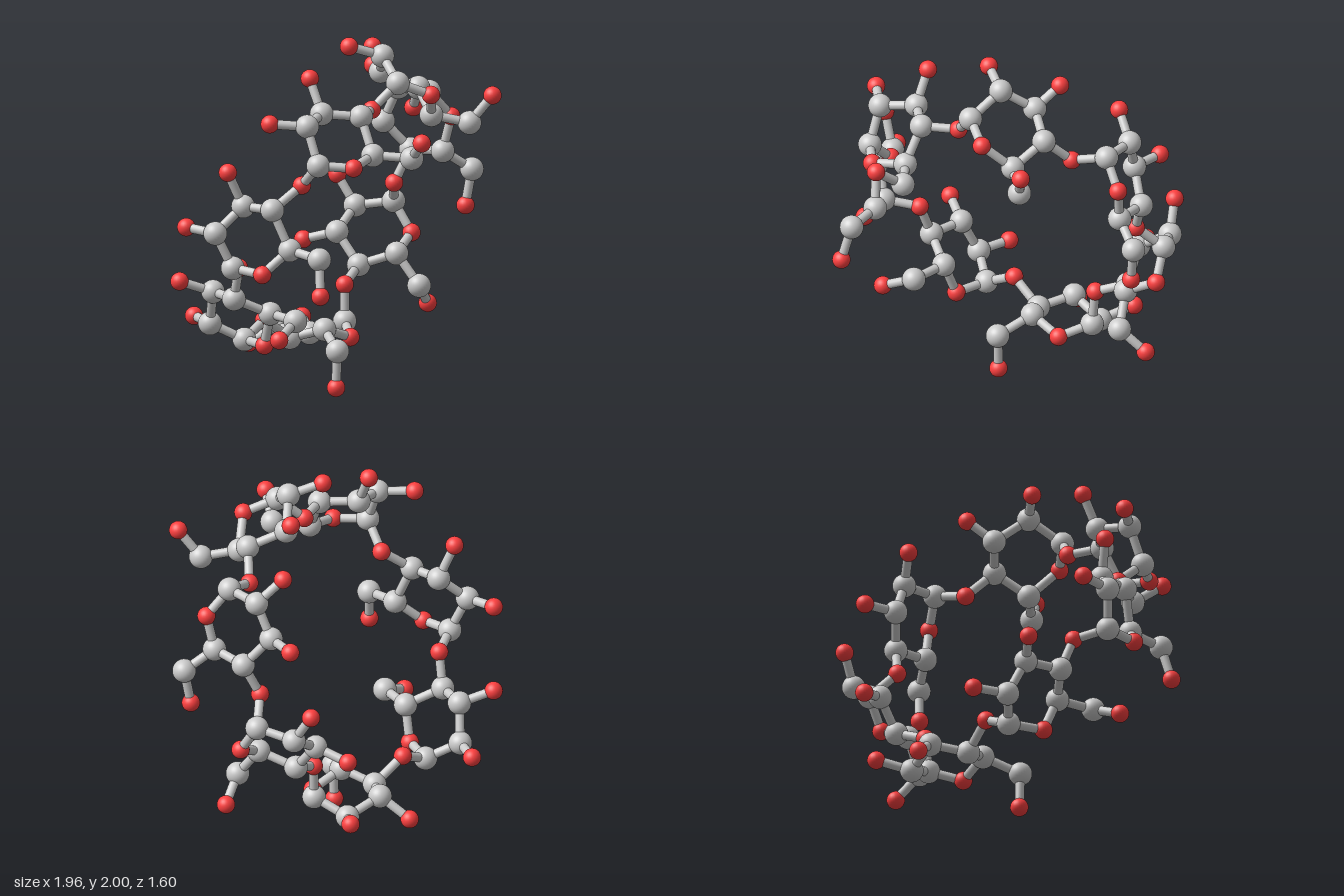
import * as THREE from 'three';

const grey = new THREE.MeshStandardMaterial({ color: 0xcccccc });
const red = new THREE.MeshStandardMaterial({ color: 0xff4040 });
const carbonBall = new THREE.SphereGeometry(0.065, 28, 18);
const oxygenBall = new THREE.SphereGeometry(0.05, 24, 16);
const stick = new THREE.CylinderGeometry(0.026, 0.026, 1, 16, 1, true);
const UP = new THREE.Vector3(0, 1, 0);

// Bonds inside one sugar unit; O4 bridges on to C1 of the next unit.
const BONDS = ['C1 C2', 'C2 C3', 'C3 C4', 'C4 C5', 'C5 O5', 'O5 C1',
  'C5 C6', 'C6 O6', 'C2 O2', 'C3 O3', 'C4 O4'];

function addBond(parent, a, b, name) {
  const from = new THREE.Vector3(...a), to = new THREE.Vector3(...b);
  const dir = to.clone().sub(from);
  const mesh = new THREE.Mesh(stick, grey);
  mesh.name = name;
  mesh.position.copy(from).add(to).multiplyScalar(0.5);
  mesh.scale.y = dir.length();
  mesh.quaternion.setFromUnitVectors(UP, dir.normalize());
  parent.add(mesh);
}

function sugarUnit(name, atoms) {
  const unit = new THREE.Group();
  unit.name = name;
  for (const [label, p] of Object.entries(atoms)) {
    const carbon = label[0] === 'C';
    const ball = new THREE.Mesh(carbon ? carbonBall : oxygenBall, carbon ? grey : red);
    ball.name = (carbon ? 'carbon' : 'oxygen') + label[1];
    ball.position.set(...p);
    unit.add(ball);
  }
  for (const pair of BONDS) {
    const [a, b] = pair.split(' ');
    addBond(unit, atoms[a], atoms[b], `bond${a}${b}`);
  }
  return unit;
}

// Seven sugar units, clockwise from the upper left.
const upperLeft = {
  C1: [-0.673, 1.415, 0.285], C2: [-0.66, 1.62, 0.2], C3: [-0.46, 1.654, 0.15],
  C4: [-0.328, 1.638, 0.318], C5: [-0.364, 1.442, 0.425], O5: [-0.565, 1.403, 0.443],
  C6: [-0.266, 1.431, 0.615], O6: [-0.356, 1.544, 0.75], O2: [-0.782, 1.634, 0.038],
  O3: [-0.443, 1.836, 0.057], O4: [-0.135, 1.638, 0.247],
};
const top = {
  C1: [-0.01, 1.775, 0.33], C2: [0.08, 1.893, 0.16], C3: [0.224, 1.77, 0.04],
  C4: [0.37, 1.675, 0.187], C5: [0.27, 1.558, 0.35], O5: [0.133, 1.701, 0.449],
  C6: [0.406, 1.512, 0.507], O6: [0.476, 1.664, 0.61], O2: [-0.066, 1.953, 0.042],
  O3: [0.312, 1.881, -0.08], O4: [0.478, 1.537, 0.073],
};
const upperRight = {
  C1: [0.675, 1.588, 0.034], C2: [0.69, 1.585, -0.185], C3: [0.668, 1.392, -0.272],
  C4: [0.775, 1.232, -0.165], C5: [0.77, 1.248, 0.055], O5: [0.787, 1.442, 0.1],
  C6: [0.912, 1.136, 0.147], O6: [0.884, 0.938, 0.124], O2: [0.572, 1.717, -0.27],
  O3: [0.715, 1.394, -0.462], O4: [0.704, 1.05, -0.225],
};
const lowerRight = {
  C1: [0.825, 0.92, -0.318], C2: [0.745, 0.885, -0.518], C3: [0.557, 0.77, -0.502],
  C4: [0.57, 0.6, -0.365], C5: [0.667, 0.67, -0.18], O5: [0.842, 0.755, -0.21],
  C6: [0.703, 0.5, -0.055], O6: [0.842, 0.378, -0.1], O2: [0.715, 1.05, -0.618],
  O3: [0.495, 0.717, -0.685], O4: [0.388, 0.524, -0.325],
};
const bottom = {
  C1: [0.374, 0.325, -0.314], C2: [0.311, 0.248, -0.505], C3: [0.113, 0.32, -0.56],
  C4: [-0.015, 0.285, -0.396], C5: [0.055, 0.34, -0.214], O5: [0.243, 0.272, -0.178],
  C6: [-0.06, 0.257, -0.042], O6: [-0.06, 0.054, -0.05], O2: [0.438, 0.304, -0.65],
  O3: [0.045, 0.21, -0.718], O4: [-0.193, 0.405, -0.438],
};
const lowerLeft = {
  C1: [-0.37, 0.325, -0.44], C2: [-0.5, 0.418, -0.576], C3: [-0.568, 0.612, -0.505],
  C4: [-0.64, 0.605, -0.31], C5: [-0.484, 0.515, -0.18], O5: [-0.446, 0.325, -0.248],
  C6: [-0.545, 0.507, 0.035], O6: [-0.726, 0.432, 0.06], O2: [-0.411, 0.427, -0.75],
  O3: [-0.711, 0.677, -0.625], O4: [-0.677, 0.79, -0.248],
};
const left = {
  C1: [-0.852, 0.826, -0.16], C2: [-0.92, 1.02, -0.228], C3: [-0.785, 1.16, -0.14],
  C4: [-0.775, 1.158, 0.05], C5: [-0.73, 0.94, 0.135], O5: [-0.853, 0.812, 0.04],
  C6: [-0.75, 0.915, 0.35], O6: [-0.792, 0.722, 0.388], O2: [-0.926, 1.034, -0.42],
  O3: [-0.86, 1.352, -0.188], O4: [-0.628, 1.283, 0.14],
};

export function createModel() {
  const model = new THREE.Group();
  model.name = 'ringMolecule';
  const units = { upperLeft, top, upperRight, lowerRight, bottom, lowerLeft, left };
  const names = Object.keys(units);
  names.forEach((name, i) => {
    const next = units[names[(i + 1) % names.length]];
    const unit = sugarUnit(name + 'Sugar', units[name]);
    addBond(unit, units[name].O4, next.C1, 'bridgeBond');
    model.add(unit);
  });
  return model;
}
